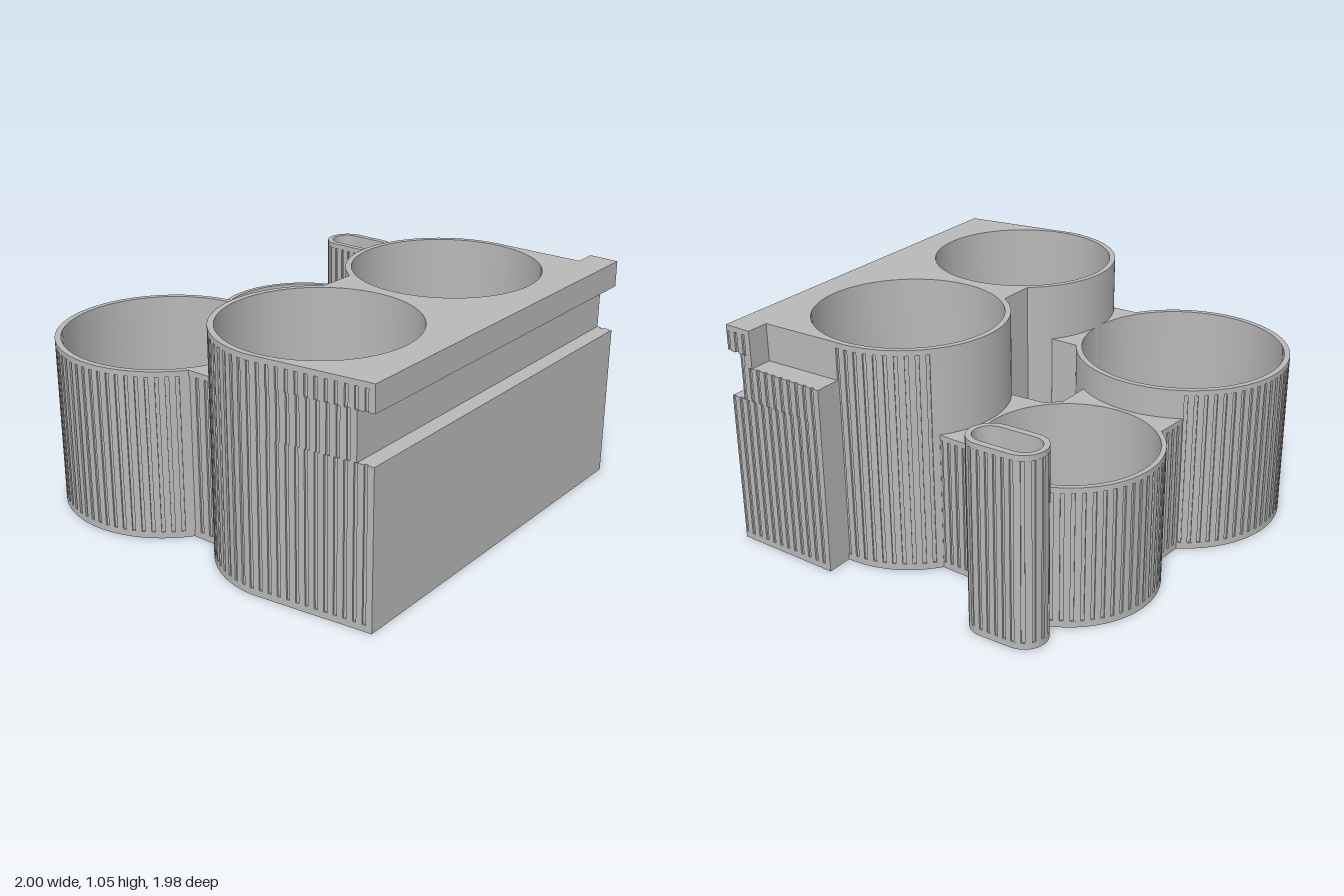
import * as THREE from 'three';
import { mergeGeometries, toCreasedNormals } from 'three/addons/utils/BufferGeometryUtils.js';

const PITCH = 0.044, GROOVE = 0.008, FLOOR = 0.03, BAND = 0.025, DRAIN = 0.037;
const PI = Math.PI, TAU = PI * 2;

// Cup positions in plan (x, z), with outer and inner radii
const backLeft = { x: -0.503, z: -0.495, r: 0.495, inner: 0.468 };
const backRight = { x: 0.4, z: -0.435, r: 0.413, inner: 0.39 };
const frontLeft = { x: -0.545, z: 0.425, r: 0.455, inner: 0.428 };
const frontRight = { x: 0.37, z: 0.425, r: 0.455, inner: 0.428 };

// Walks a curve; at(t, inset) gives a point. Grooved walks dip inward once per pitch.
function walk(length, grooved, at) {
  const n = Math.max(1, Math.round(length / PITCH)), pts = [];
  for (let i = 0; i < n; i++) {
    if (grooved) {
      for (const [f, d] of [[0, 0], [0.33, 0], [0.65, 0], [0.65, GROOVE], [1, GROOVE]]) pts.push(at((i + f) / n, d));
    } else {
      pts.push(at(i / n, 0), at((i + 0.5) / n, 0));
    }
  }
  pts.push(at(1, 0));
  return pts;
}

function arc(c, r, a0, a1, grooved = false) {
  return walk(Math.abs(a1 - a0) * r, grooved, (t, d) => {
    const a = a0 + (a1 - a0) * t;
    return new THREE.Vector2(c.x + Math.cos(a) * (r - d), c.z + Math.sin(a) * (r - d));
  });
}

function line(p, q, grooved = false) {
  const dx = q[0] - p[0], dz = q[1] - p[1], len = Math.hypot(dx, dz);
  return walk(len, grooved, (t, d) =>
    new THREE.Vector2(p[0] + dx * t - (dz / len) * d, p[1] + dz * t + (dx / len) * d));
}

// Upright slab from a plan outline between two heights
function slab(points, holes, y0, y1) {
  const clean = points.filter((p, i) => p.distanceTo(points[(i + 1) % points.length]) > 1e-4);
  const shape = new THREE.Shape(clean);
  shape.holes = holes;
  const g = new THREE.ExtrudeGeometry(shape, { depth: y1 - y0, bevelEnabled: false, curveSegments: 72 });
  return g.rotateX(PI / 2).translate(0, y1, 0);
}

const circle = (c, r) => new THREE.Path().absarc(c.x, c.z, r, 0, TAU, true);

// Stadium outline, rounded at both z ends
function stadium(c, r, half, grooved) {
  const near = { x: c.x, z: c.z + half }, far = { x: c.x, z: c.z - half };
  return [
    ...arc(near, r, 0, PI, grooved),
    ...line([c.x - r, near.z], [c.x - r, far.z], grooved),
    ...arc(far, r, PI, TAU, grooved),
    ...line([c.x + r, far.z], [c.x + r, near.z], grooved),
  ];
}

// Floor, grooved wall and plain rim of one open container
function container(outline, holes, drains, h) {
  return [
    slab(outline(false), drains, 0, FLOOR),
    slab(outline(true), holes, FLOOR, h - BAND),
    slab(outline(false), holes, h - BAND, h),
  ];
}

// Round cup, grooved from a0 to a1 and plain on the rest
function cup(c, a0, a1, h) {
  const outline = (g) => [...arc(c, c.r, a0, a1, g), ...arc(c, c.r, a1, a0 + TAU)];
  return container(outline, [circle(c, c.inner)], [circle(c, DRAIN)], h);
}

// Filler between two neighbouring cups, from p on c1 to q on c2
function web(c1, c2, p, q, h, grooved) {
  const near = (a, ref) => a + TAU * Math.round((ref - a) / TAU);
  const dir = Math.atan2(c2.z - c1.z, c2.x - c1.x);
  const a1 = Math.atan2(p[1] - c1.z, p[0] - c1.x), a2 = Math.atan2(q[1] - c2.z, q[0] - c2.x);
  const pts = (g) => [
    ...arc(c1, c1.r - 0.015, a1, near(dir, a1)),
    ...arc(c2, c2.r - 0.015, near(dir + PI, a2), a2),
    ...line(q, p, g),
  ];
  return [
    slab(pts(false), [], 0, FLOOR),
    slab(pts(grooved), [], FLOOR, h - BAND),
    slab(pts(false), [], h - BAND, h),
  ];
}

// Plan of the front block: two cup backs, slanted sides, flat front
function blockOutline(front, ledge, g) {
  const C = frontLeft, D = frontRight;
  const leftX = -0.93 - (0.99 - front) * 0.125, rightX = 0.925 + (0.99 - front) * 0.047;
  const side = ledge
    ? [...line([0.823, 0.46], [0.95, 0.46]), ...line([0.95, 0.46], [rightX, front], g)]
    : [...line([0.823, 0.46], [0.823, 0.85]), ...line([0.823, 0.85], [0.932, 0.85]),
      ...line([0.932, 0.85], [rightX, front], g)];
  return [
    ...arc(C, C.r, PI, PI + 1, g),
    ...arc(C, C.r, PI + 1, TAU - 0.637),
    ...arc(D, D.r, PI + 0.62, TAU - 0.92),
    ...arc(D, D.r, TAU - 0.92, TAU + 0.077, g),
    ...side,
    new THREE.Vector2(leftX, front),
    ...line([leftX, front], [-1, 0.425], g),
  ];
}

export function createModel() {
  const model = new THREE.Group();
  model.name = 'cupOrganizer';
  const grey = new THREE.MeshStandardMaterial({ color: 0xb8b8b8 });
  grey.name = 'grey';

  const add = (name, parts) => {
    const mesh = new THREE.Mesh(toCreasedNormals(mergeGeometries(parts), 0.35), grey);
    mesh.name = name;
    model.add(mesh);
  };

  // Tall front block with a rail slot across the front and a ledge on the left side
  const cups = () => [circle(frontLeft, frontLeft.inner), circle(frontRight, frontRight.inner)];
  const drains = [circle(frontLeft, DRAIN), circle(frontRight, DRAIN)];
  const layers = [
    // bottom, top, front z, has ledge, grooved
    [FLOOR, 0.72, 0.99, true, true],
    [0.72, 0.88, 0.915, true, true],
    [0.88, 0.935, 0.915, false, true],
    [0.935, 1.03, 0.99, false, true],
    [1.03, 1.055, 0.99, false, false],
  ];
  add('frontBlock', [
    slab(blockOutline(0.99, true, false), drains, 0, FLOOR),
    ...layers.map(([y0, y1, z, ledge, g]) => slab(blockOutline(z, ledge, g), cups(), y0, y1)),
  ]);

  // Rear cups
  add('largeBackCup', cup(backLeft, 2.2, 5.78, 0.79));
  add('smallBackCup', cup(backRight, 3.88, 7.2, 0.655));

  // Webs joining the cups around the open centre
  add('backWebs', [
    ...web(backRight, backLeft, [0.09, -0.715], [-0.07, -0.73], 0.655, true),
    ...web(backLeft, backRight, [-0.1, -0.2], [0.06, -0.195], 0.655, false),
  ]);
  add('rightWebs', [
    ...web(backLeft, frontLeft, [-0.785, -0.1], [-0.785, 0.05], 0.79, true),
    ...web(backLeft, frontLeft, [-0.255, -0.07], [-0.26, 0.07], 0.79, false),
  ]);
  add('leftWebs', [
    ...web(frontRight, backRight, [0.645, 0.06], [0.655, -0.1], 0.655, true),
    ...web(frontRight, backRight, [0.125, 0.04], [0.12, -0.13], 0.655, false),
  ]);

  // Slim side pocket
  const pocket = { x: 0.896, z: -0.46 };
  add('sidePocket', container(
    (g) => stadium(pocket, 0.103, 0.077, g),
    [new THREE.Path(stadium(pocket, 0.073, 0.083, false))],
    [circle(pocket, 0.025)], 0.88));

  return model;
}
